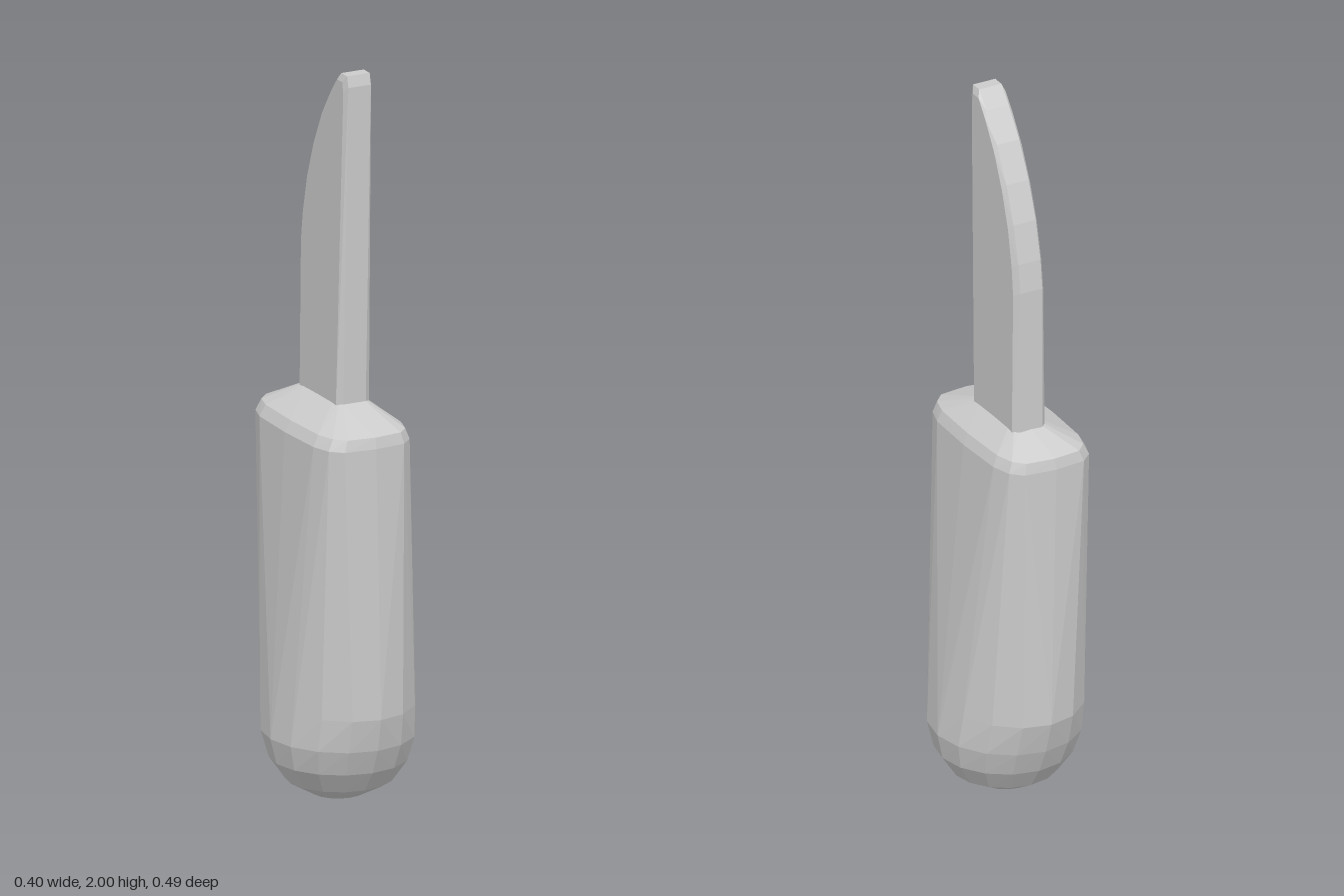
import * as THREE from 'three';
import { ConvexGeometry } from 'three/addons/geometries/ConvexGeometry.js';

const material = new THREE.MeshStandardMaterial({ color: 0xcccccc, flatShading: true });

// Superellipse ring at height y, filling the given x and z extents
function ring(y, x0, x1, z0, z1, power, sides = 16) {
  const points = [];
  const soften = (v) => Math.sign(v) * Math.pow(Math.abs(v), 2 / power);
  for (let i = 0; i < sides; i++) {
    const a = (i / sides) * Math.PI * 2;
    points.push(new THREE.Vector3(
      (x0 + x1) / 2 + soften(Math.cos(a)) * (x1 - x0) / 2,
      y,
      (z0 + z1) / 2 + soften(Math.sin(a)) * (z1 - z0) / 2));
  }
  return points;
}

// Faceted grip: boxy at the top, swelling to a rounded butt
function makeHandle() {
  const sections = [
    // y, x min, x max, z min, z max, squareness
    [1.10, -0.045, 0.05, -0.14, 0.09, 5],
    [1.05, -0.14, 0.112, -0.237, 0.237, 4],
    [1.02, -0.157, 0.125, -0.243, 0.243, 4],
    [0.28, -0.195, 0.192, -0.243, 0.243, 2],
    [0.19, -0.2, 0.2, -0.215, 0.222, 2],
    [0.12, -0.182, 0.185, -0.183, 0.19, 2],
    [0.06, -0.14, 0.145, -0.14, 0.145, 2],
    [0.02, -0.07, 0.07, -0.07, 0.07, 2],
  ];
  const points = sections.flatMap((s) => ring(...s));
  points.push(new THREE.Vector3(0, 0, 0));
  return new THREE.Mesh(new ConvexGeometry(points), material);
}

// Thick blade: straight front, curved back, narrow chamfer around the outline
function makeBlade() {
  const outline = [ // z, y
    [0.085, 1.06], [0.115, 1.97], [0.108, 2.0], [0.075, 2.0],
    [0.035, 1.955], [-0.02, 1.88], [-0.07, 1.785], [-0.108, 1.685],
    [-0.133, 1.58], [-0.143, 1.5], [-0.143, 1.06],
  ];
  const points = [];
  for (const [z, y] of outline) {
    // Rim of the outline
    for (const x of [-0.03, 0.036]) points.push(new THREE.Vector3(x, y, z));
    // Broad sides, drawn in from the rim and tapering slightly upward
    const t = (y - 1.06) / 0.94;
    const sideY = 1.06 + (y - 1.06) * 0.98;
    const sideZ = -0.01 + (z + 0.01) * 0.88;
    points.push(new THREE.Vector3(-0.046 + 0.009 * t, sideY, sideZ));
    points.push(new THREE.Vector3(0.052 - 0.008 * t, sideY, sideZ));
  }
  return new THREE.Mesh(new ConvexGeometry(points), material);
}

export function createModel() {
  const model = new THREE.Group();
  model.name = 'knife';
  const handle = makeHandle();
  handle.name = 'handle';
  const blade = makeBlade();
  blade.name = 'blade';
  model.add(handle, blade);
  return model;
}
